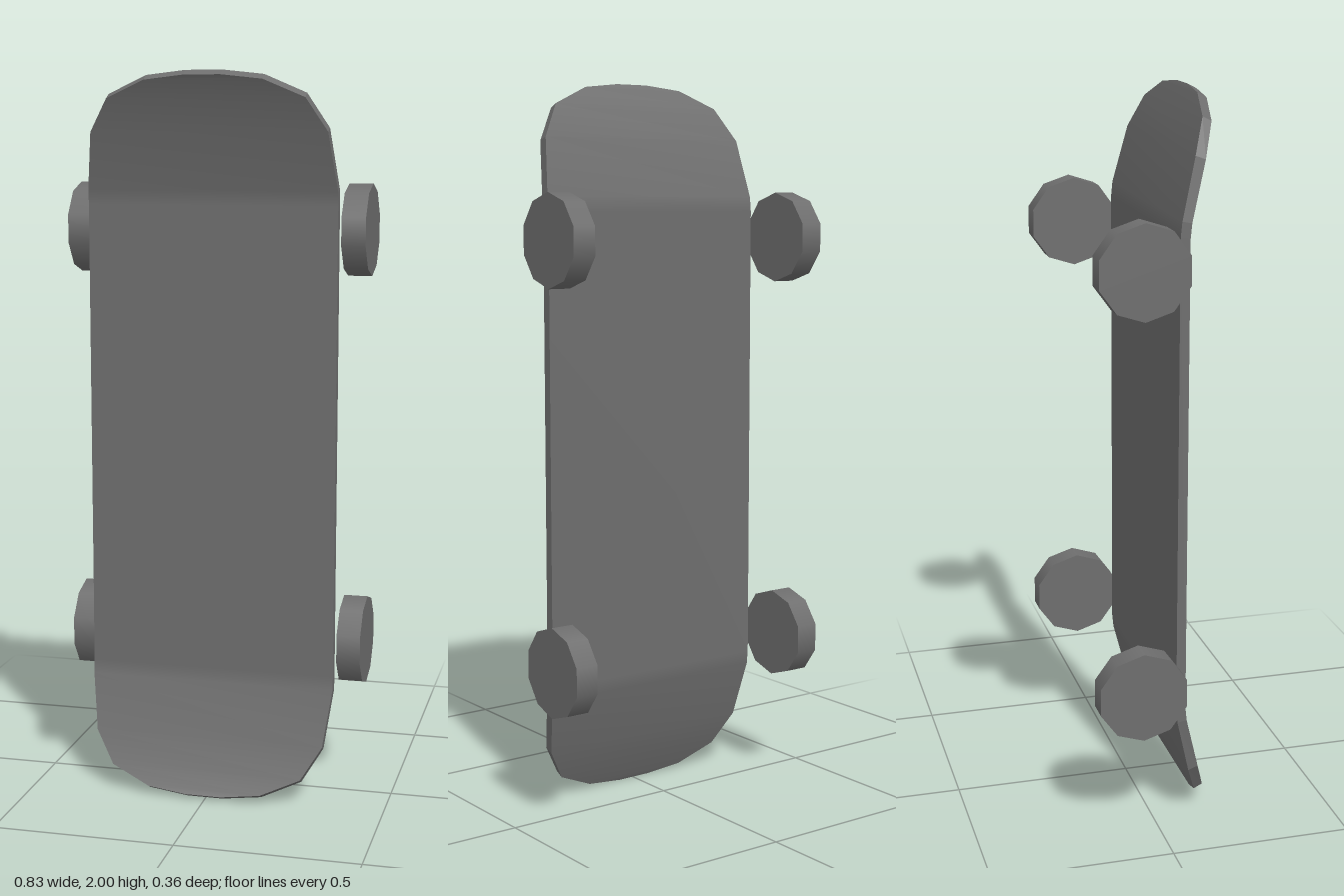
import * as THREE from 'three';

const material = new THREE.MeshStandardMaterial({ color: 0x6e6e6e, side: THREE.DoubleSide });

// Half-length cross-sections: half width, front y, front z, back y, back z
const sections = [
  [0.346, 1.645, 0.075, 1.65, 0.049],
  [0.346, 1.685, 0.079, 1.69, 0.053],
  [0.325, 1.84, 0.119, 1.85, 0.092],
  [0.27, 1.928, 0.15, 1.94, 0.126],
  [0.16, 1.975, 0.171, 1.988, 0.146],
  [0.05, 1.987, 0.178, 2.0, 0.153],
];

// Sheet between two rows of points; the first row runs on the left of the second
function strip(rowA, rowB, closed = false) {
  const positions = [], index = [], n = rowA.length;
  for (let i = 0; i < n; i++) positions.push(...rowA[i], ...rowB[i]);
  for (let i = 0; i < (closed ? n : n - 1); i++) {
    const a = 2 * i, b = 2 * ((i + 1) % n);
    index.push(a, a + 1, b, a + 1, b + 1, b);
  }
  const g = new THREE.BufferGeometry();
  g.setAttribute('position', new THREE.Float32BufferAttribute(positions, 3));
  g.setIndex(index);
  g.computeVertexNormals();
  return g;
}

function createDeck() {
  const deck = new THREE.Group();
  deck.name = 'deck';
  deck.position.x = -0.003;
  // Whole length from bottom tip to top tip, both ends curling forward
  const bottom = sections.map(([w, fy, fz, by, bz]) => [w, 2 - fy, fz, 2 - by, bz]).reverse();
  const rows = [...bottom, ...sections];
  const edge = (side, back) => rows.map((r) => [side * r[0], r[back ? 3 : 1], r[back ? 4 : 2]]);
  const add = (name, geometry) => {
    const mesh = new THREE.Mesh(geometry, material);
    mesh.name = name;
    deck.add(mesh);
  };
  add('deckFront', strip(edge(-1, false), edge(1, false)));
  add('deckBack', strip(edge(1, true), edge(-1, true)));
  // Faceted rim running up the left side and down the right side
  const loop = (back) => [...edge(1, back), ...edge(-1, back).reverse()];
  const rim = strip(loop(false), loop(true), true).toNonIndexed();
  rim.computeVertexNormals();
  add('deckRim', rim);
  return deck;
}

export function createModel() {
  const model = new THREE.Group();
  model.name = 'skateboard';
  model.add(createDeck());

  // Four ten-sided wheels with their axis across the board
  const wheelGeometry = new THREE.CylinderGeometry(0.125, 0.125, 0.066, 10, 1, false, Math.PI / 2);
  wheelGeometry.rotateZ(Math.PI / 2);
  for (const [end, y] of [['lower', 0.428], ['upper', 1.578]]) {
    for (const side of [-1, 1]) {
      const wheel = new THREE.Mesh(wheelGeometry, material);
      wheel.name = end + (side > 0 ? 'LeftWheel' : 'RightWheel');
      wheel.position.set(side * 0.382, y, -0.06);
      model.add(wheel);
    }
  }
  return model;
}
